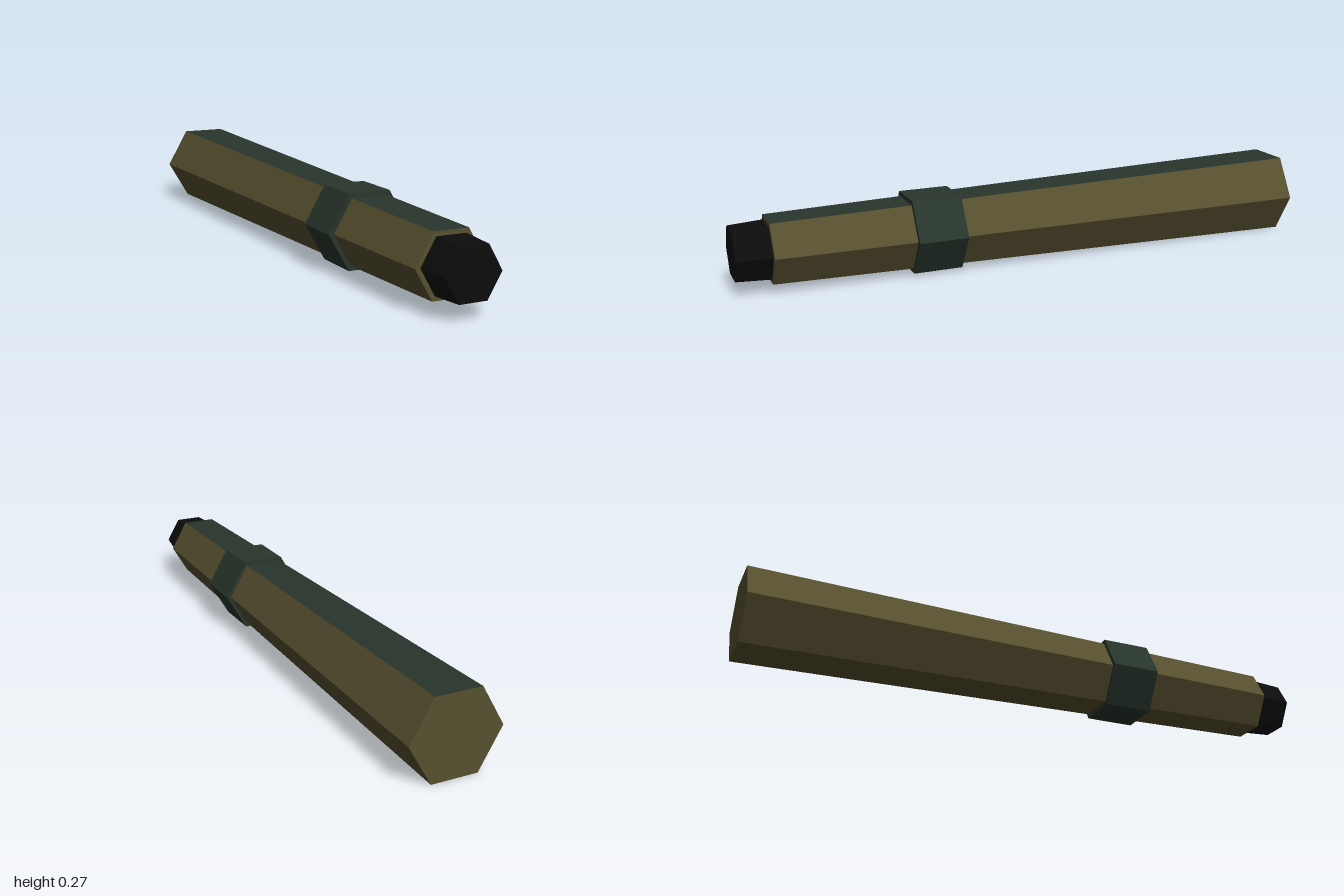
import * as THREE from 'three';

const CENTRE_Y = 0.1335;

// Tapered hexagonal prism along z, flat side up, with faceted normals
function hexPrism(backZ, frontZ, backRadius, frontRadius) {
  const geometry = new THREE.CylinderGeometry(
    frontRadius, backRadius, frontZ - backZ, 6, 1, false, Math.PI / 6
  ).toNonIndexed();
  geometry.rotateX(Math.PI / 2);
  geometry.translate(0, CENTRE_Y, (backZ + frontZ) / 2);
  geometry.computeVertexNormals();
  return geometry;
}

export function createModel() {
  const group = new THREE.Group();

  const material = (name, color) => {
    const m = new THREE.MeshStandardMaterial({ color });
    m.name = name;
    return m;
  };
  const olive = material('olive', 0x575030);
  const green = material('darkGreen', 0x28352c);
  const black = material('black', 0x0c0c0d);

  const add = (name, geometry, mat) => {
    const mesh = new THREE.Mesh(geometry, mat);
    mesh.name = name;
    group.add(mesh);
  };

  // Long tapered barrel: olive, with only its top flat in green
  const barrel = hexPrism(-1, 0.885, 0.154, 0.1155);
  barrel.clearGroups();
  barrel.addGroup(0, 12, 0);
  barrel.addGroup(12, 6, 1);
  barrel.addGroup(18, 54, 0);
  add('barrel', barrel, [olive, green]);

  // Raised band around the barrel
  add('band', hexPrism(0.257, 0.425, 0.1425, 0.1425), green);

  // Black tip at the front
  add('tip', hexPrism(0.88, 1, 0.099, 0.092), black);

  return group;
}
